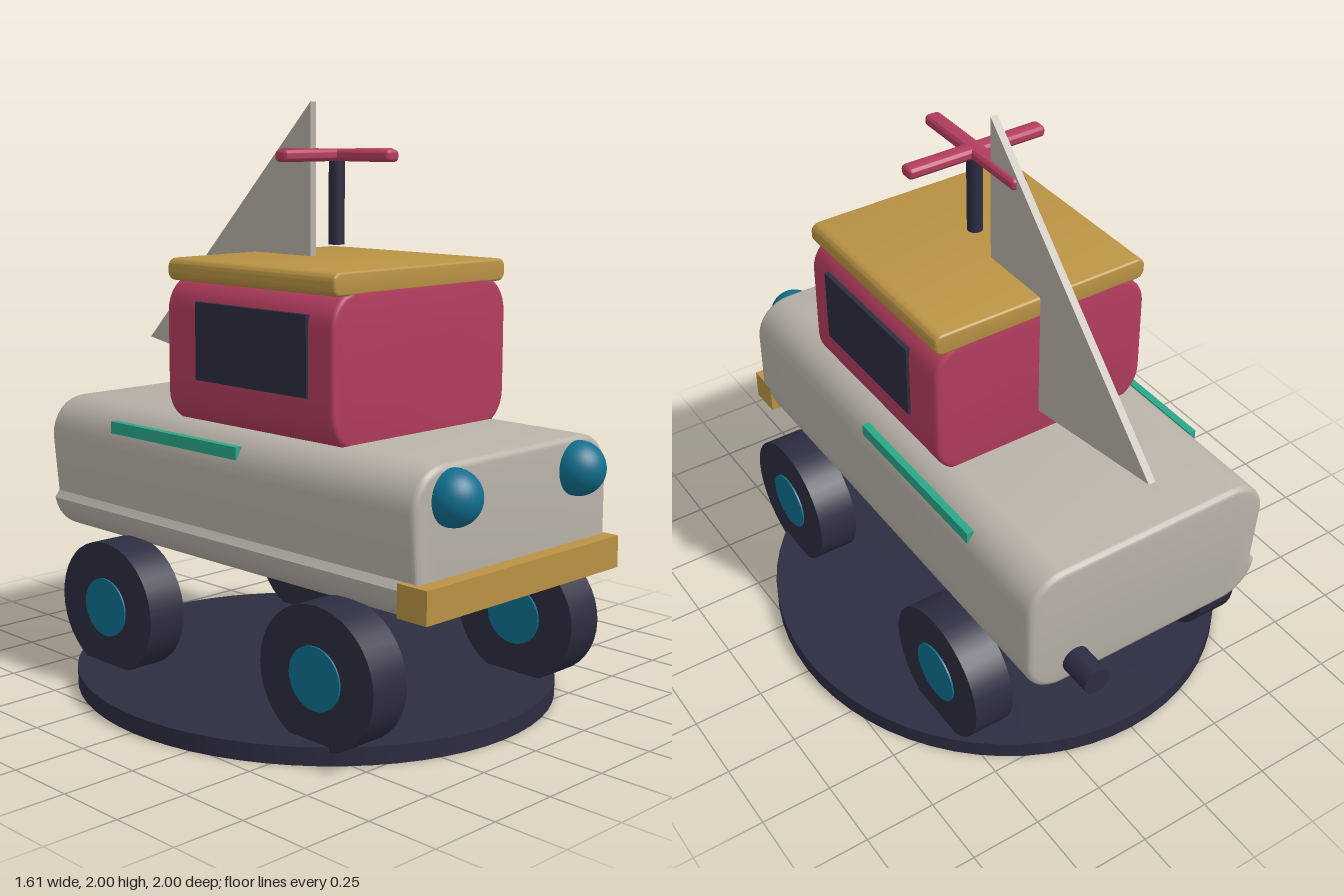
import * as THREE from 'three';
import { toCreasedNormals } from 'three/addons/utils/BufferGeometryUtils.js';

const paint = (name, color) => {
  const m = new THREE.MeshStandardMaterial({ color });
  m.name = name;
  return m;
};

// Rounded rectangle outline centred on the origin; dent pulls one left-side corner inward
function roundedOutline(w, h, r, dent = 0) {
  const pts = [];
  const corners = [[-1, -1, Math.PI], [1, -1, 1.5 * Math.PI], [1, 1, 0], [-1, 1, 0.5 * Math.PI]];
  for (const [sx, sy, start] of corners) {
    for (let i = 0; i <= 8; i++) {
      const a = start + (i / 8) * Math.PI / 2;
      pts.push(new THREE.Vector2(sx * (w / 2 - r) + r * Math.cos(a), sy * (h / 2 - r) + r * Math.sin(a)));
    }
  }
  pts[0].x += dent;
  return new THREE.Shape(pts);
}

// Rounded bar running along z, with a small bevel at both ends
function roundedBar(w, h, d, r, bevel, dent = 0) {
  const shape = roundedOutline(w - 2 * bevel, h - 2 * bevel, r - bevel, dent);
  const geo = new THREE.ExtrudeGeometry(shape, {
    depth: d - 2 * bevel, bevelEnabled: true, bevelSize: bevel, bevelThickness: bevel, bevelSegments: 3,
  });
  geo.translate(0, 0, bevel - d / 2);
  return toCreasedNormals(geo, 0.6);
}

export function createModel() {
  const group = new THREE.Group();
  const cream = paint('cream', 0xb8b2a8);
  const red = paint('red', 0xb43d5e);
  const gold = paint('gold', 0xba9344);
  const teal = paint('teal', 0x10708f);
  const green = paint('green', 0x2aa889);
  const dark = paint('dark', 0x2d2d42);

  const add = (name, geo, mat, x, y, z) => {
    const mesh = new THREE.Mesh(geo, mat);
    mesh.name = name;
    mesh.position.set(x, y, z);
    group.add(mesh);
    return mesh;
  };

  // Oval base
  add('base', new THREE.CylinderGeometry(1, 1, 0.06, 64).scale(0.807, 1, 0.862), dark, 0, 0.03, 0.01);

  // Body, cabin and roof
  add('body', roundedBar(0.935, 0.485, 1.785, 0.135, 0.02, 0.02), cream, 0, 0.7025, 0.01);
  add('cabin', roundedBar(0.82, 0.51, 0.79, 0.12, 0.015), red, 0, 1.175, 0.117);
  add('roof', roundedBar(0.81, 0.075, 0.79, 0.03, 0.008), gold, 0, 1.447, 0.117);

  // Bumper and exhaust
  add('bumper', new THREE.BoxGeometry(0.935, 0.107, 0.118), gold, 0, 0.546, 0.897);
  add('exhaust', new THREE.CylinderGeometry(0.049, 0.049, 0.2, 24).rotateX(Math.PI / 2), dark, 0.283, 0.542, -0.9);

  // Paired parts on both sides
  const tyre = new THREE.CylinderGeometry(0.247, 0.247, 0.145, 40).rotateZ(Math.PI / 2).scale(1, 0.93, 1);
  const hub = new THREE.CylinderGeometry(0.11, 0.11, 0.157, 32).rotateZ(Math.PI / 2).scale(1, 0.93, 1);
  for (const s of [-1, 1]) {
    add('headlight', new THREE.SphereGeometry(0.09, 32, 20), teal, s * 0.303, 0.842, 0.91);
    add('sideWindow', new THREE.BoxGeometry(0.02, 0.26, 0.525), dark, s * 0.41, 1.22, 0.142);
    add('sideStripe', new THREE.BoxGeometry(0.026, 0.042, 0.655), green, s * 0.449, 0.881, -0.205);
    for (const z of [0.578, -0.465]) {
      add('wheel', tyre, dark, s * 0.477, 0.263, z);
      add('wheelHub', hub, teal, s * 0.477, 0.263, z);
    }
  }

  // Rotor: mast and two crossed rounded blades
  add('rotorMast', new THREE.CylinderGeometry(0.027, 0.027, 0.29, 20), dark, 0, 1.675, 0.118);
  for (const turn of [0, Math.PI / 2]) {
    const blade = add('rotorBlade', roundedBar(0.058, 0.04, 0.516, 0.016, 0.012), red, 0, 1.826, 0.118);
    blade.rotation.y = turn;
  }

  // Triangular sail in the y-z plane
  const sail = new THREE.Shape([
    new THREE.Vector2(0, 0.985), new THREE.Vector2(0.868, 1.13), new THREE.Vector2(0, 2),
  ]);
  const sailGeo = new THREE.ExtrudeGeometry(sail, { depth: 0.026, bevelEnabled: false });
  sailGeo.translate(0, 0, -0.013).rotateY(Math.PI / 2);
  add('sail', sailGeo, cream, 0, 0, 0.005);

  return group;
}
